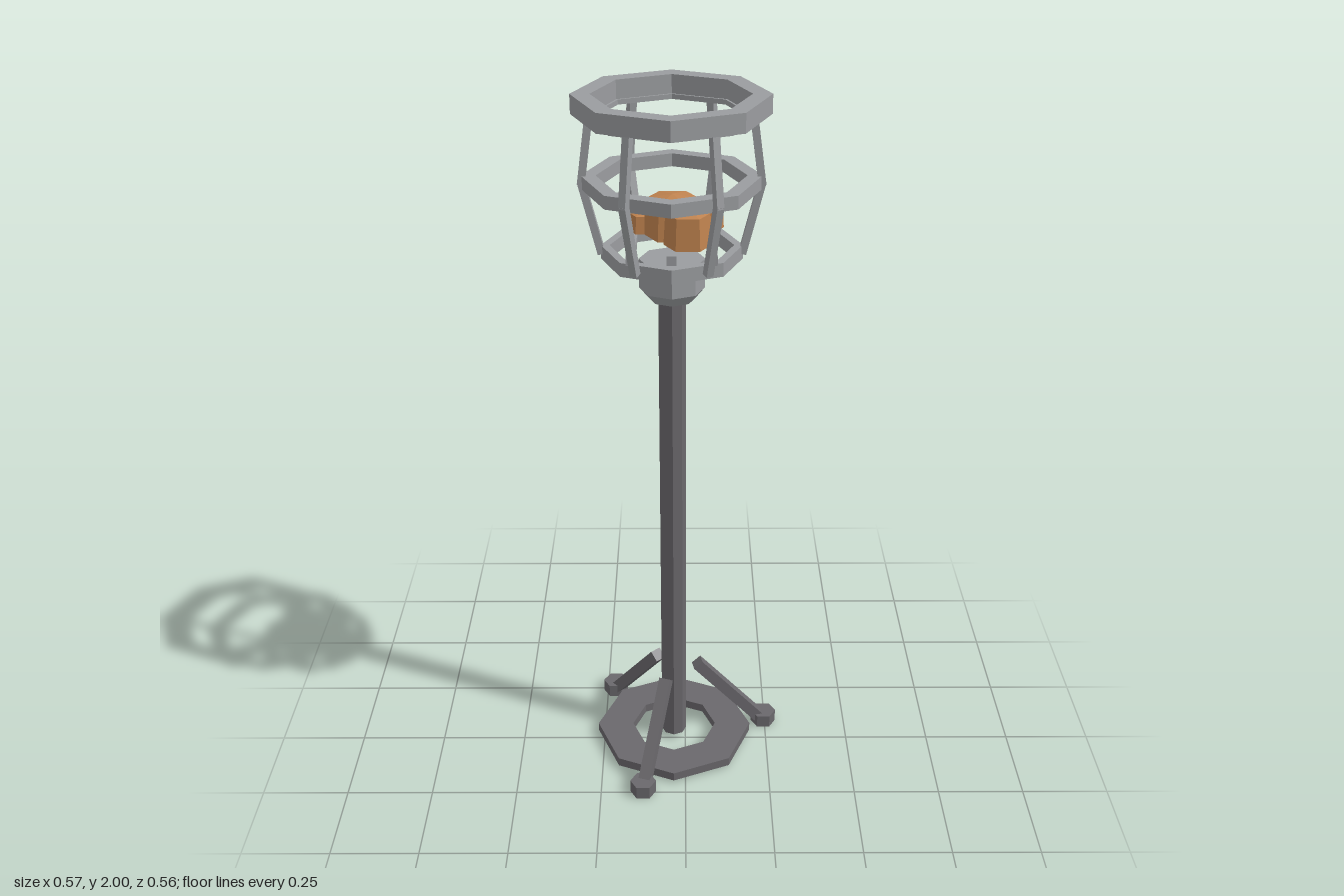
import * as THREE from 'three';

const lightMetal = new THREE.MeshStandardMaterial({ color: 0x9a9c9f, flatShading: true });
lightMetal.name = 'light metal';
const darkMetal = new THREE.MeshStandardMaterial({ color: 0x6a686c, flatShading: true });
darkMetal.name = 'dark metal';
const ember = new THREE.MeshStandardMaterial({ color: 0xc0834f, flatShading: true });
ember.name = 'ember orange';

function add(parent, name, geometry, material) {
  const mesh = new THREE.Mesh(geometry, material);
  mesh.name = name;
  parent.add(mesh);
  return mesh;
}

// Octagonal flat ring with corners on the axes, from y0 to y1
function ring(parent, name, outer, inner, y0, y1, material) {
  const corners = (r) => Array.from({ length: 8 }, (_, i) =>
    new THREE.Vector2(r * Math.cos(i * Math.PI / 4), r * Math.sin(i * Math.PI / 4)));
  const shape = new THREE.Shape(corners(outer));
  shape.holes.push(new THREE.Path(corners(inner)));
  const geo = new THREE.ExtrudeGeometry(shape, { depth: y1 - y0, bevelEnabled: false });
  geo.rotateX(-Math.PI / 2).translate(0, y0, 0);
  return add(parent, name, geo, material);
}

// Upright prism or frustum from y0 to y1
function prism(parent, name, rTop, rBottom, y0, y1, sides, material) {
  const geo = new THREE.CylinderGeometry(rTop, rBottom, y1 - y0, sides);
  if (sides === 6) geo.rotateY(Math.PI / 6);
  geo.translate(0, (y0 + y1) / 2, 0);
  return add(parent, name, geo, material);
}

// Square bar in the plane of x and y, from (r0, y0) to (r1, y1)
function bar(parent, name, r0, y0, r1, y1, size, material) {
  const geo = new THREE.BoxGeometry(size, Math.hypot(r1 - r0, y1 - y0), size);
  geo.rotateZ(-Math.atan2(r1 - r0, y1 - y0));
  geo.translate((r0 + r1) / 2, (y0 + y1) / 2, 0);
  return add(parent, name, geo, material);
}

export function createModel() {
  const model = new THREE.Group();
  model.name = 'standing brazier';
  const stand = new THREE.Group();
  stand.name = 'stand';
  stand.position.set(-0.035, 0, -0.027);
  model.add(stand);

  // Pole, base and collar
  ring(stand, 'baseRing', 0.235, 0.127, 0.008, 0.035, darkMetal);
  prism(stand, 'pole', 0.037, 0.037, 0.02, 1.47, 8, darkMetal);
  prism(stand, 'collarTaper', 0.087, 0.062, 1.46, 1.49, 8, lightMetal);
  prism(stand, 'collar', 0.087, 0.087, 1.49, 1.57, 8, lightMetal);

  // Three slanted legs with hexagonal feet
  for (const degrees of [108.4, 228.4, 348.4]) {
    const angle = THREE.MathUtils.degToRad(degrees);
    const leg = new THREE.Group();
    leg.name = 'leg';
    leg.rotation.y = -angle;
    stand.add(leg);
    bar(leg, 'legBar', 0.27, 0.025, 0.073, 0.258, 0.034, darkMetal);
    const foot = prism(stand, 'foot', 0.038, 0.038, 0, 0.04, 6, darkMetal);
    foot.position.set(0.286 * Math.cos(angle), 0, 0.286 * Math.sin(angle));
  }

  // Basket rings
  ring(stand, 'basketBottomRing', 0.185, 0.162, 1.57, 1.607, lightMetal);
  ring(stand, 'basketMiddleRing', 0.232, 0.193, 1.758, 1.793, lightMetal);
  ring(stand, 'basketLip', 0.212, 0.196, 1.937, 1.95, lightMetal);
  ring(stand, 'basketTopRing', 0.252, 0.202, 1.95, 2, lightMetal);

  // Six bent basket struts
  for (let i = 0; i < 6; i++) {
    const strut = new THREE.Group();
    strut.name = 'basketStrut';
    strut.rotation.y = i * Math.PI / 3;
    stand.add(strut);
    bar(strut, 'lowerStrut', 0.183, 1.585, 0.231, 1.778, 0.02, lightMetal);
    bar(strut, 'upperStrut', 0.231, 1.77, 0.205, 1.955, 0.02, lightMetal);
  }

  // Grate under the coals
  for (const x of [-0.103, 0, 0.103]) {
    const geo = new THREE.BoxGeometry(0.025, 0.025, 0.305);
    add(stand, 'grateBar', geo, lightMetal).position.set(x, 1.62, 0);
  }

  // Coals: tapered hexagonal lumps with shallow pointed tops
  const coals = [
    [0.002, 0, 0.075, 1.745],
    [-0.069, -0.04, 0.05, 1.695],
    [0.082, -0.053, 0.054, 1.715],
    [0.041, 0.079, 0.062, 1.732],
  ];
  for (const [x, z, r, top] of coals) {
    const coal = new THREE.Group();
    coal.name = 'coal';
    coal.position.set(x, 0, z);
    stand.add(coal);
    prism(coal, 'coalBody', r * 0.92, r, 1.637, top - 0.012, 6, ember);
    const cap = new THREE.ConeGeometry(r * 0.92, 0.012, 6, 1, true);
    cap.rotateY(Math.PI / 6).translate(0, top - 0.006, 0);
    add(coal, 'coalTop', cap, ember);
  }
  return model;
}
